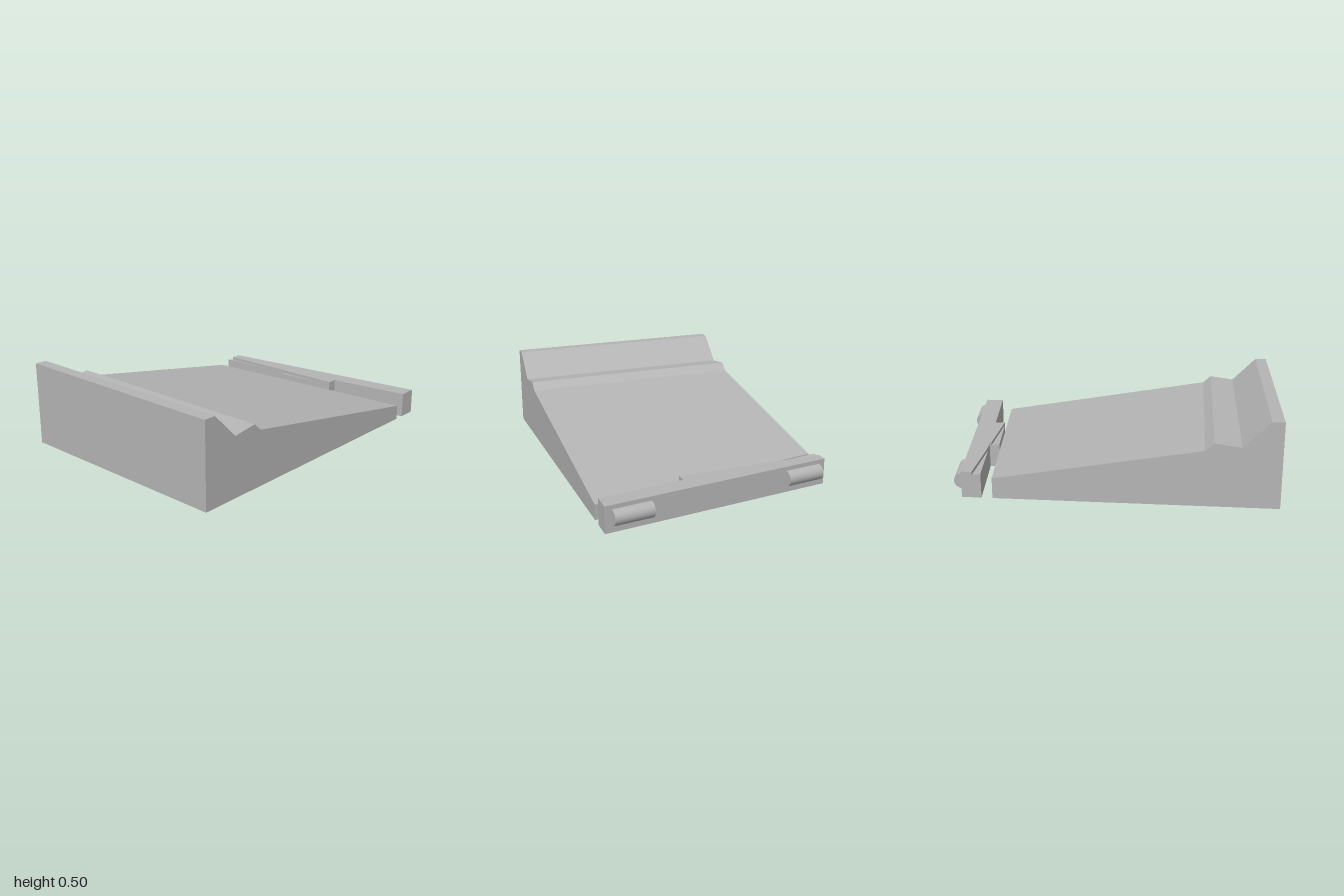
import * as THREE from 'three';

const HALF = 0.69; // half depth of the model

// Shape from a list of [x, y] corners
const shapeOf = (pts) => new THREE.Shape(pts.map(([x, y]) => new THREE.Vector2(x, y)));

// Move every vertex by a rule, then refresh the flat normals
function reshape(geometry, rule) {
  const p = geometry.attributes.position;
  const v = new THREE.Vector3();
  for (let i = 0; i < p.count; i++) {
    v.fromBufferAttribute(p, i);
    rule(v);
    p.setXYZ(i, v.x, v.y, v.z);
  }
  geometry.computeVertexNormals();
  return geometry;
}

// Upright block from a plan outline of [x, z] corners; topAt(x) gives its height
function planBlock(pts, topAt) {
  const geometry = new THREE.ExtrudeGeometry(shapeOf(pts.map(([x, z]) => [x, -z])), { depth: 1, bevelEnabled: false });
  geometry.rotateX(-Math.PI / 2);
  return reshape(geometry, (v) => { v.y = v.y > 0.5 ? topAt(v.x) : 0; });
}

export function createModel() {
  const group = new THREE.Group();
  const grey = new THREE.MeshStandardMaterial({ color: 0xb4b4b4 });
  grey.name = 'grey';
  const add = (name, geometry) => {
    const mesh = new THREE.Mesh(geometry, grey);
    mesh.name = name;
    group.add(mesh);
    return mesh;
  };

  // Sloping body with a raised back lip, its low end cut at a slant
  const rampY = (x) => 0.325 - 0.173 * (x + 0.58);
  const profile = shapeOf([
    [-1, 0], [0.78, 0], [0.78, 0.09], [-0.58, 0.325],
    [-0.63, 0.37], [-0.78, 0.35], [-0.93, 0.5], [-1, 0.5],
  ]);
  const body = new THREE.ExtrudeGeometry(profile, { depth: 2 * HALF, bevelEnabled: false });
  body.translate(0, 0, -HALF);
  add('rampBody', reshape(body, (v) => {
    if (v.x < 0.7) return;
    v.x = v.z > 0 ? 0.78 : 0.607;
    if (v.y > 0.01) v.y = rampY(v.x);
  }));

  // Slanted bumper beam with the tongue that joins it to the body
  add('bumperBeam', planBlock([
    [0.72, -HALF], [0.783, -HALF], [0.955, HALF], [0.842, HALF], [0.78, 0.19],
    [0.72, 0.19], [0.72, -0.2], [0.731, -0.2], [0.72, -0.284],
  ], () => 0.154));

  // Lower sloped corners on the inner side of the beam and tongue
  const lowTop = (x) => 0.145 - 0.173 * (x - 0.67);
  add('beamLowerCorner', planBlock([[0.67, -HALF], [0.72, -HALF], [0.72, -0.284]], lowTop));
  add('tongueLowerCorner', planBlock([[0.669, -0.2], [0.72, -0.2], [0.72, 0.19]], lowTop));

  // Round bumpers half sunk in the outer face of the beam
  const slant = Math.atan2(0.172, 2 * HALF);
  for (const [name, z] of [['frontRoller', 0.537], ['backRoller', -0.537]]) {
    const roller = new THREE.CylinderGeometry(0.046, 0.046, 0.23, 40);
    roller.rotateX(Math.PI / 2);
    const mesh = add(name, roller);
    mesh.rotation.y = slant;
    mesh.position.set(0.869 + 0.1246 * z, 0.084, z);
  }
  return group;
}
